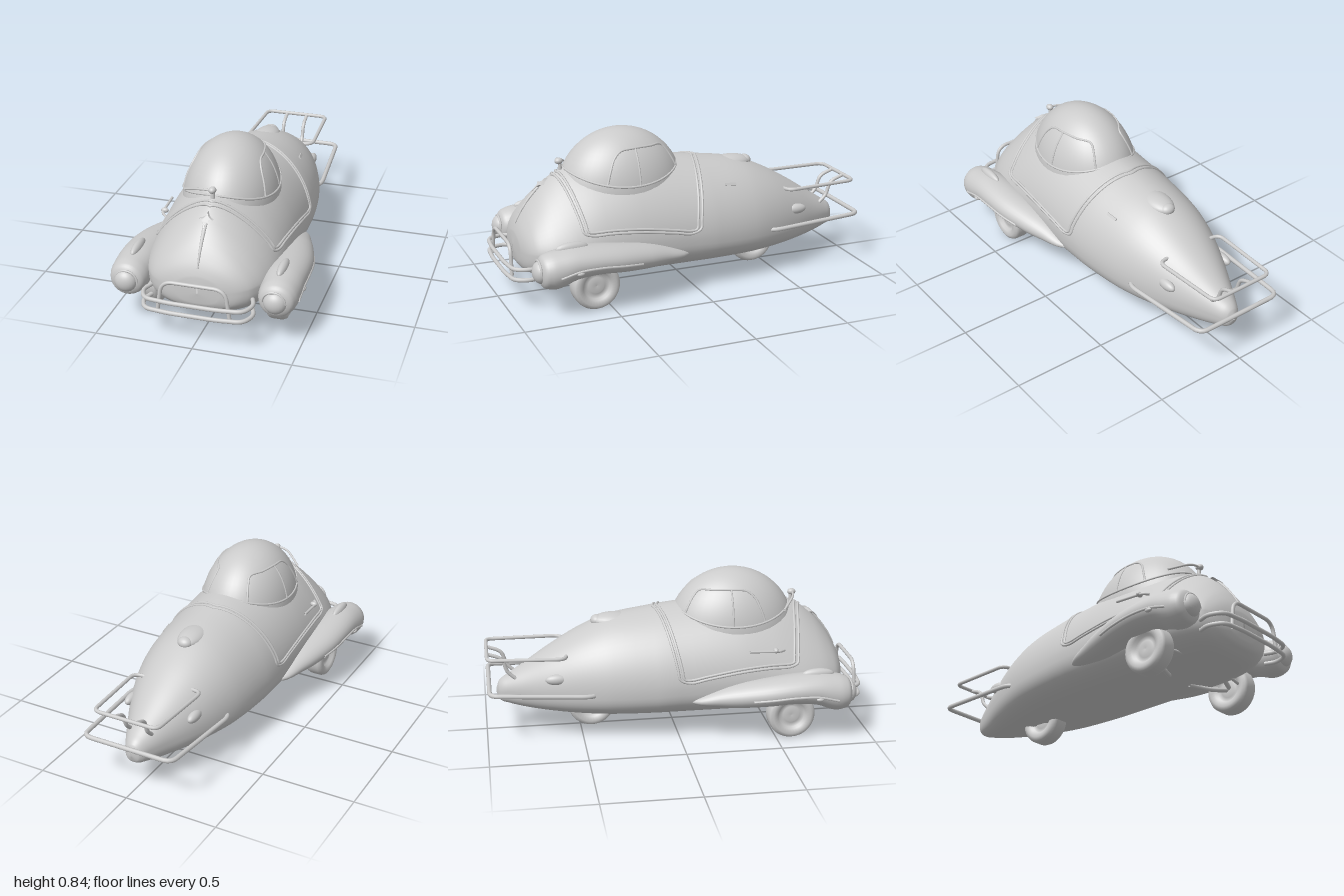
import * as THREE from 'three';

const material = new THREE.MeshStandardMaterial({ color: 0xcccccc, side: THREE.DoubleSide });
const V = (x, y, z) => new THREE.Vector3(x, y, z);

// Smooth interpolation of a table whose first column is z, descending
function sample(table, z) {
  let i = 0;
  while (i < table.length - 2 && z < table[i + 1][0]) i++;
  const a = table[i], b = table[i + 1], p = table[i - 1] || a, n = table[i + 2] || b;
  const h = b[0] - a[0], t = THREE.MathUtils.clamp((z - a[0]) / h, 0, 1);
  return a.map((v, c) => {
    if (c === 0) return z;
    const m0 = (b[c] - p[c]) / (b[0] - p[0]) * h, m1 = (n[c] - a[c]) / (n[0] - a[0]) * h;
    const t2 = t * t, t3 = t2 * t;
    return (2 * t3 - 3 * t2 + 1) * v + (t3 - 2 * t2 + t) * m0 + (3 * t2 - 2 * t3) * b[c] + (t3 - t2) * m1;
  });
}

// Skin of rings along z
function loft(table, pointAt, sides = 48, steps = 4) {
  const zs = [];
  table.forEach((row, i) => {
    if (i === table.length - 1) return zs.push(row[0]);
    for (let k = 0; k < steps; k++) zs.push(THREE.MathUtils.lerp(row[0], table[i + 1][0], k / steps));
  });
  const pos = [], index = [];
  zs.forEach((z, i) => {
    for (let j = 0; j < sides; j++) {
      pos.push(...pointAt(z, j / sides * Math.PI * 2).toArray());
      if (i === zs.length - 1) continue;
      const a = i * sides + j, b = i * sides + (j + 1) % sides;
      index.push(a, a + sides, b, b, a + sides, b + sides);
    }
  });
  const g = new THREE.BufferGeometry();
  g.setAttribute('position', new THREE.Float32BufferAttribute(pos, 3));
  g.setIndex(index);
  g.computeVertexNormals();
  return g;
}

// Hull stations: z, half width, top, widest height, bottom, upper roundness
const HULL = [
  [0.91, 0.005, 0.285, 0.27, 0.255, 2], [0.902, 0.13, 0.35, 0.27, 0.19, 1.9], [0.87, 0.225, 0.425, 0.28, 0.155, 1.7],
  [0.82, 0.275, 0.5, 0.285, 0.13, 1.55], [0.75, 0.31, 0.575, 0.29, 0.115, 1.45], [0.65, 0.333, 0.645, 0.3, 0.103, 1.4],
  [0.5, 0.34, 0.68, 0.3, 0.1, 1.6], [0.3, 0.342, 0.69, 0.3, 0.1, 1.75], [0, 0.336, 0.66, 0.29, 0.1, 1.8],
  [-0.12, 0.33, 0.643, 0.28, 0.1, 1.85], [-0.34, 0.3, 0.605, 0.27, 0.1, 1.9], [-0.5, 0.253, 0.54, 0.26, 0.105, 2],
  [-0.65, 0.19, 0.455, 0.25, 0.115, 2], [-0.78, 0.123, 0.37, 0.24, 0.13, 2], [-0.88, 0.07, 0.305, 0.23, 0.152, 2],
  [-0.925, 0.04, 0.272, 0.22, 0.17, 2], [-0.942, 0.003, 0.23, 0.22, 0.21, 2]];
function onHull(z, a) {
  const [, w, top, mid, bottom, n] = sample(HULL, z);
  const c = Math.cos(a), s = Math.sin(a), e = 2 / (s >= 0 ? n : 2.7);
  const x = Math.sign(c) * Math.abs(c) ** e * w, v = Math.abs(s) ** e;
  return V(x, s >= 0 ? mid + (top - mid) * v : mid - (mid - bottom) * v, z);
}
function noseZ(y) {
  let z = 0.905;
  while (z > 0.6 && sample(HULL, z)[2] < y) z -= 0.002;
  return z;
}

// Fender stations: z, centre x, half width, top, bottom
const FENDER = [
  [0.885, 0.38, 0.004, 0.255, 0.247], [0.88, 0.38, 0.06, 0.31, 0.19], [0.85, 0.38, 0.09, 0.338, 0.163],
  [0.79, 0.38, 0.1, 0.352, 0.158], [0.7, 0.376, 0.104, 0.36, 0.19], [0.58, 0.372, 0.106, 0.352, 0.2],
  [0.45, 0.362, 0.103, 0.335, 0.19], [0.3, 0.335, 0.092, 0.308, 0.18], [0.2, 0.32, 0.072, 0.28, 0.183],
  [0.1, 0.31, 0.045, 0.242, 0.192], [0.04, 0.305, 0.004, 0.214, 0.208]];
function onFender(z, a) {
  const [, x, w, top, bottom] = sample(FENDER, z);
  return V(x + w * Math.cos(a), (top + bottom) / 2 + (top - bottom) / 2 * Math.sin(a), z);
}

// Canopy ellipsoid
const DOME = { c: V(0, 0.5, 0.32), r: V(0.247, 0.34, 0.34) };
const domeX = (z, y) => DOME.r.x * Math.sqrt(Math.max(0, 1 - ((y - 0.5) / 0.34) ** 2 - ((z - 0.32) / 0.34) ** 2));

export function createModel() {
  const model = new THREE.Group();
  model.name = 'threeWheeledCar';

  function add(name, geometry, p = [0, 0, 0], s = [1, 1, 1], r = [0, 0, 0]) {
    const m = new THREE.Mesh(geometry, material);
    m.name = name;
    m.position.set(...p); m.scale.set(...s); m.rotation.set(...r);
    model.add(m);
    return m;
  }
  const ball = (name, p, s) => add(name, new THREE.SphereGeometry(1, 24, 16), p, s);
  const tube = (name, pts, r, closed = false, seg = 64) =>
    add(name, new THREE.TubeGeometry(new THREE.CatmullRomCurve3(pts, closed), seg, r, 8, closed));
  // Straight bars joined by rounded bends
  function bar(name, list, r, bend = 0.05) {
    const pts = list.map(p => V(...p)), path = new THREE.CurvePath();
    let from = pts[0];
    for (let i = 1; i < pts.length - 1; i++) {
      const toward = q => pts[i].clone().lerp(q, Math.min(0.45, bend / pts[i].distanceTo(q)));
      const a = toward(pts[i - 1]), b = toward(pts[i + 1]);
      path.add(new THREE.LineCurve3(from, a));
      path.add(new THREE.QuadraticBezierCurve3(a, pts[i], b));
      from = b;
    }
    path.add(new THREE.LineCurve3(from, pts[pts.length - 1]));
    return add(name, new THREE.TubeGeometry(path, 90, r, 10));
  }
  const mirrored = half => [...half, ...half.slice().reverse().map(([x, y, z]) => [-x, y, z])];

  // Hull and canopy
  add('hull', loft(HULL, onHull, 64));
  add('canopy', new THREE.SphereGeometry(1, 48, 32), DOME.c.toArray(), DOME.r.toArray());

  // Paired mouldings round the cabin section
  for (const d of [0, 0.022]) {
    const half = [];
    for (let k = 0; k <= 10; k++) half.push(onHull(0.69 - d - 0.007 * k, Math.PI / 2 - k * 0.119));
    for (let k = 0; k <= 6; k++) half.push(onHull(0.575 - k * 0.088, 0.31 - k * 0.034 + d * 2));
    for (let k = 0; k <= 10; k++) half.push(onHull(-0.005 + d - k * 0.01, 0.17 + k * (Math.PI / 2 - 0.17) / 10));
    const other = half.slice(1, -1).reverse().map(p => V(-p.x, p.y, p.z));
    tube('cabinMoulding', [...half, ...other], 0.007, true, 220);
  }

  // Canopy base trim
  const rim = [];
  for (let k = 0; k < 48; k++) {
    const a = k / 48 * Math.PI * 2, y = 0.615 - 0.035 * Math.cos(2 * a), f = Math.sqrt(1 - ((y - 0.5) / 0.34) ** 2);
    rim.push(V(DOME.r.x * f * Math.cos(a), y, 0.32 + DOME.r.z * f * Math.sin(a)));
  }
  tube('canopyTrim', rim, 0.006, true, 120);

  for (const s of [-1, 1]) {
    // Side window frame and divider
    const frame = [[0.46, 0.6], [0.44, 0.66], [0.41, 0.72], [0.37, 0.752], [0.3, 0.76], [0.2, 0.758], [0.13, 0.75],
      [0.1, 0.72], [0.065, 0.66], [0.045, 0.61]];
    tube('windowFrame', frame.map(([z, y]) => V(s * domeX(z, y), y, z)), 0.006);
    tube('windowDivider', [0.585, 0.64, 0.7, 0.76].map(y => V(s * domeX(0.29, y), y, 0.29)), 0.005);

    // Fender, lamps and trim
    add('fender', loft(FENDER, (z, a) => { const p = onFender(z, a); p.x *= s; return p; }, 32));
    if (s < 0) model.children.at(-1).geometry.index.array.reverse();
    model.children.at(-1).geometry.computeVertexNormals();
    ball('headlamp', [s * 0.38, 0.25, 0.875], [0.058, 0.058, 0.043]);
    add('headlampHood', new THREE.TorusGeometry(0.058, 0.006, 8, 24, Math.PI), [s * 0.375, 0.25, 0.885]);
    ball('fenderLamp', [s * 0.375, 0.352, 0.71], [0.024, 0.03, 0.085]);
    ball('sideMarker', [s * 0.478, 0.248, 0.7], [0.011, 0.011, 0.02]);
    tube('fenderTrim', [0.8, 0.7, 0.58, 0.46, 0.36].map(z => {
      const p = onFender(z, -0.2); return V(s * p.x, p.y, z);
    }), 0.007);
    ball('tailLamp', [s * 0.182, 0.325, -0.63], [0.026, 0.028, 0.06]);

    // Front suspension
    for (const [y, z] of [[0.15, 0.62], [0.1, 0.54]])
      bar('suspensionArm', [[s * 0.08, y, z - 0.04], [s * 0.2, y, z], [s * 0.32, 0.125, 0.58]], 0.012);
    bar('steeringLink', [[s * 0.15, 0.13, 0.68], [s * 0.31, 0.13, 0.65]], 0.008);

    // Rack struts
    tube('rackStrut', [V(s * 0.06, 0.3, -0.84), V(s * 0.06, 0.34, -0.88), V(s * 0.06, 0.41, -0.91), V(s * 0.06, 0.444, -0.985)], 0.01);
  }

  // Wheels
  const tyre = [[0, -0.03], [0.035, -0.035], [0.045, -0.025], [0.068, -0.028], [0.075, -0.045], [0.1, -0.052], [0.118, -0.043],
    [0.125, -0.028], [0.125, 0.028], [0.118, 0.043], [0.1, 0.052], [0.075, 0.045], [0.068, 0.028], [0.045, 0.025],
    [0.035, 0.035], [0, 0.03]].map(p => new THREE.Vector2(...p));
  for (const [name, x, z] of [['frontWheel', 0.33, 0.58], ['frontWheel', -0.33, 0.58], ['rearWheel', 0, -0.44]])
    add(name, new THREE.LatheGeometry(tyre, 36), [x, 0.125, z], [1, 1, 1], [0, 0, -Math.PI / 2]);

  // Front bumper with hoop
  for (const y of [0.23, 0.175])
    bar('frontBumper', mirrored([[0.26, y, 0.84], [0.282, y, 0.9], [0.25, y, 0.975], [0.12, y, 0.99]]), 0.011, 0.04);
  bar('bumperHoop', mirrored([[0.182, 0.175, 0.968], [0.16, 0.33, 0.965]]), 0.01, 0.06);

  // Rear bumper and luggage rack
  bar('rearBumper', mirrored([[0.255, 0.255, -0.43], [0.283, 0.258, -0.47], [0.25, 0.278, -0.98]]), 0.012);
  bar('luggageRack', mirrored([[0.1, 0.435, -0.57], [0.195, 0.44, -0.585], [0.178, 0.446, -0.985]]), 0.01, 0.04);

  // Nose ornament following the bonnet curve
  const bend = g => {
    const p = g.attributes.position;
    for (let i = 0; i < p.count; i++) p.setZ(i, p.getZ(i) + noseZ(p.getY(i)));
    g.computeVertexNormals();
    return g;
  };
  const star = new THREE.Shape();
  star.moveTo(0, 0.607);
  [[0.035, 0.582], [0, 0.545], [-0.035, 0.582], [0, 0.607]].forEach(([x, y]) => star.quadraticCurveTo(x * 0.3, 0.585, x, y));
  star.closePath();
  add('noseOrnament', bend(new THREE.ExtrudeGeometry(star, { depth: 0.018, bevelEnabled: false, curveSegments: 6 })));
  add('noseStem', bend(new THREE.CylinderGeometry(0.011, 0.004, 0.18, 10, 10).translate(0, 0.475, 0.003)));

  // Wiper
  add('wiperPost', new THREE.CylinderGeometry(0.009, 0.011, 0.05, 12), [0, 0.67, 0.645]);
  ball('wiperMotor', [0, 0.69, 0.65], [0.019, 0.017, 0.022]);
  bar('wiperArm', [[0, 0.69, 0.655], [-0.07, 0.685, 0.645], [-0.165, 0.64, 0.575]], 0.006);

  // Door handle and catch on the right side
  ball('doorKnob', [-0.305, 0.467, 0.5], [0.02, 0.014, 0.014]);
  bar('doorHandle', [[-0.285, 0.46, 0.55], [-0.312, 0.462, 0.52], [-0.316, 0.47, 0.36]], 0.007, 0.02);

  // Rear deck intake, fairing and side vent
  ball('intake', [0, 0.582, -0.4], [0.04, 0.03, 0.035]);
  ball('intakeFairing', [0, 0.58, -0.31], [0.07, 0.042, 0.12]);
  const vent = onHull(-0.22, 0.8);
  add('sideVent', new THREE.BoxGeometry(0.012, 0.014, 0.065), [vent.x, vent.y, vent.z], [1, 1, 1], [-0.1, 0.1, 0.6]);

  return model;
}
